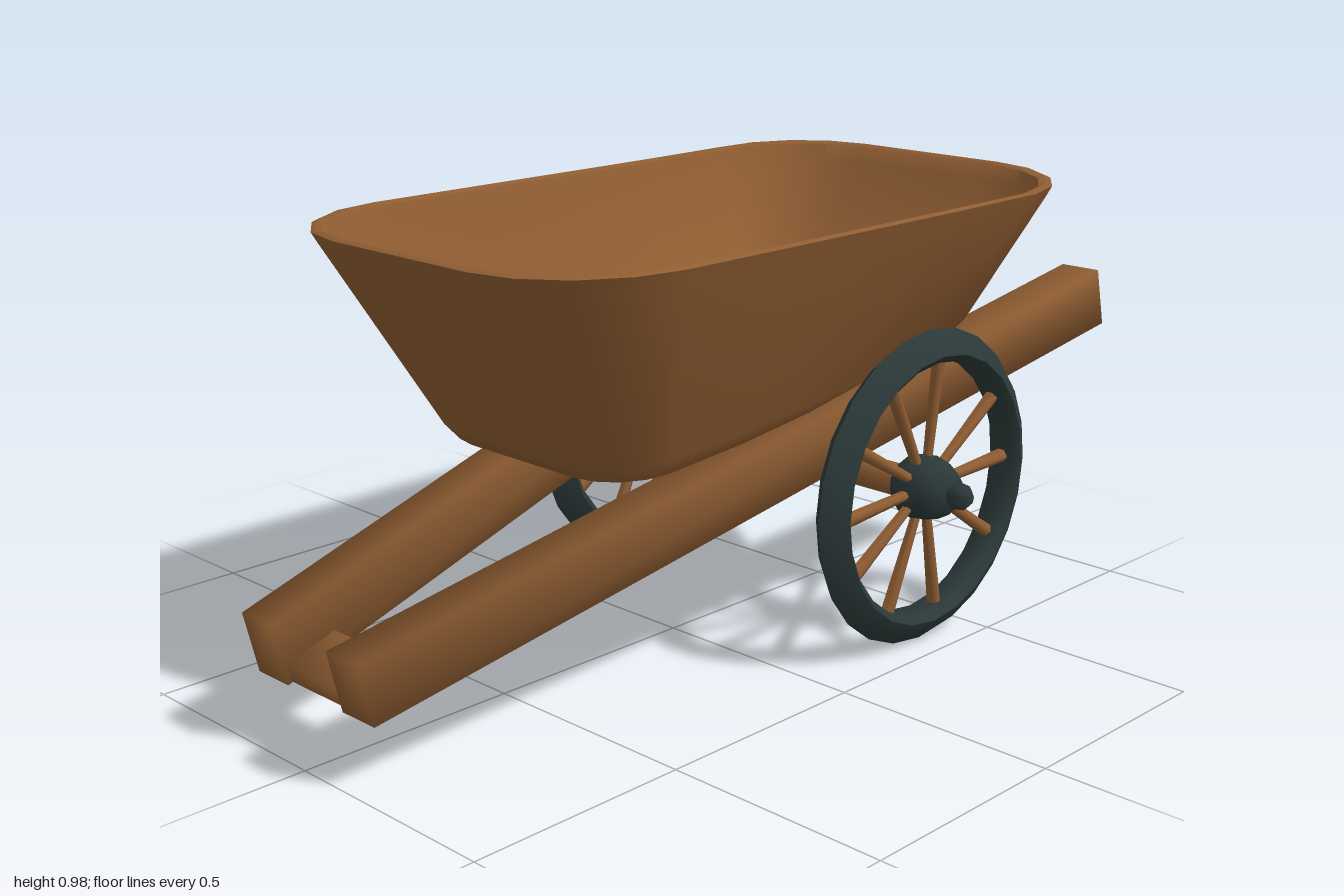
import * as THREE from 'three';
import { toCreasedNormals } from 'three/addons/utils/BufferGeometryUtils.js';

const wood = new THREE.MeshStandardMaterial({ color: 0x8f5d32 });
wood.name = 'wood';
const iron = new THREE.MeshStandardMaterial({ color: 0x2b3838 });
iron.name = 'dark iron';

function part(name, geometry, material, crease = 0.9) {
  const mesh = new THREE.Mesh(toCreasedNormals(geometry, crease), material);
  mesh.name = name;
  return mesh;
}

// Rounded rectangle loop; rl and rr are corner lengths at the two ends.
// k is how far the loop follows the floor, which climbs towards +x.
function loop([y, x0, x1, z, rl, rr, rz, k]) {
  const pts = [];
  const steps = 4;
  const add = (x, pz) => {
    const t = Math.max(0, x + 0.42);
    const climb = 0.03 * t + 0.11 * t * t;
    const lip = 0.04 * Math.max(0, x - 0.6);
    pts.push([x, y + k * climb + (1 - k) * lip, pz]);
  };
  for (let c = 0; c < 4; c++) {
    const right = c === 0 || c === 3;
    const rx = right ? rr : rl;
    const cx = right ? x1 - rx : x0 + rx;
    const side = c < 2 ? 1 : -1;
    for (let i = 0; i <= steps; i++) {
      const a = (c + i / steps) * Math.PI / 2;
      add(cx + rx * Math.cos(a), side * (z - rz) + rz * Math.sin(a));
    }
    // Extra points along the long sides so they can follow the curved floor
    if (c % 2 === 0) {
      const next = right ? x0 + rl : x1 - rr;
      for (const f of [0.25, 0.5, 0.75]) add(cx + (next - cx) * f, side * z);
    }
  }
  return pts;
}

// Skin from the underside centre, up the outside, over the rim and down to the floor
function tubGeometry() {
  const rings = [
    [0.478, 0.1, 0.1, 0, 0, 0, 0, 1],
    [0.480, -0.39, 0.64, 0.250, 0.12, 0.10, 0.11, 1],
    [0.497, -0.44, 0.675, 0.285, 0.14, 0.12, 0.13, 0.9],
    [0.535, -0.475, 0.705, 0.308, 0.16, 0.13, 0.15, 0.7],
    [0.94, -0.72, 0.872, 0.46, 0.29, 0.23, 0.26, 0],
    [0.963, -0.734, 0.887, 0.470, 0.30, 0.24, 0.27, 0],
    [0.968, -0.724, 0.878, 0.461, 0.29, 0.24, 0.26, 0],
    [0.963, -0.71, 0.862, 0.445, 0.28, 0.23, 0.25, 0],
    [0.93, -0.69, 0.845, 0.433, 0.27, 0.22, 0.24, 0],
    [0.575, -0.45, 0.65, 0.290, 0.15, 0.12, 0.13, 0.8],
    [0.54, -0.41, 0.61, 0.262, 0.12, 0.10, 0.11, 1],
    [0.54, 0.1, 0.1, 0, 0, 0, 0, 1],
  ].map(loop);
  const n = rings[0].length;
  const index = [];
  for (let r = 0; r < rings.length - 1; r++) {
    for (let i = 0; i < n; i++) {
      const j = (i + 1) % n;
      const a = r * n + i, b = r * n + j, c = a + n, d = b + n;
      if (r > 0) index.push(a, c, b);
      if (r < rings.length - 2) index.push(b, c, d);
    }
  }
  const g = new THREE.BufferGeometry();
  g.setAttribute('position', new THREE.Float32BufferAttribute(rings.flat(2), 3));
  g.setIndex(index);
  g.computeVertexNormals();
  return g;
}

// Square beam, tilted up towards +x and slanted sideways, with soft-shaded edges
const TILT = 0.233;
function beam(name, size, position, slant) {
  const shear = new THREE.Matrix4().set(1, 0, 0, 0, 0, 1, 0, 0, slant, 0, 1, 0, 0, 0, 0, 1);
  const mesh = part(name, new THREE.BoxGeometry(...size).applyMatrix4(shear), wood, 1.9);
  mesh.position.set(...position);
  mesh.rotation.z = TILT;
  return mesh;
}

// Surface turned around the z axis from [radius, z] pairs
function turned(points, sides) {
  return new THREE.LatheGeometry(points.map(p => new THREE.Vector2(...p)), sides).rotateX(Math.PI / 2);
}

// Wheel with its outer face towards +z, or towards -z when s is -1
const SPOKE_ANGLES = [2, 34, 83, 117, 150, 183, 212, 246, 280, 326];
function wheel(name, s) {
  const g = new THREE.Group();
  g.name = name;
  g.add(part('tire', turned([
    [0.284, 0.028], [0.284, -0.028], [0.300, -0.042], [0.330, -0.026],
    [0.352, 0], [0.330, 0.026], [0.300, 0.042], [0.284, 0.028],
  ], 24), iron, 1.2));
  g.add(part('hub', turned([
    [0, -0.065], [0.042, -0.062], [0.066, -0.04], [0.075, 0], [0.064, 0.04],
    [0.048, 0.068], [0.022, 0.074], [0.03, 0.092], [0.028, 0.108], [0.012, 0.124], [0, 0.124],
  ], 10), iron, 0.9));
  for (const deg of SPOKE_ANGLES) {
    const spoke = part('spoke', new THREE.CylinderGeometry(0.016, 0.011, 0.25, 6).translate(0, 0.17, 0), wood, 1.2);
    spoke.rotation.z = s * THREE.MathUtils.degToRad(deg) - Math.PI / 2;
    g.add(spoke);
  }
  if (s < 0) g.rotation.x = Math.PI;
  g.position.set(0.345, 0.355, s * 0.426);
  return g;
}

export function createModel() {
  const model = new THREE.Group();
  model.name = 'handcart';
  model.add(part('tub', tubGeometry(), wood, 0.8));

  // Long shafts that splay towards the wheel end, and the wheels
  for (const s of [1, -1]) {
    const side = s > 0 ? 'front' : 'back';
    model.add(beam(side + 'Shaft', [2.022, 0.136, 0.097], [0, 0.442, s * 0.261], s * 0.124));
    model.add(wheel(side + 'Wheel', s));
  }

  // Cross bar joining the shaft ends, flush with their undersides
  model.add(beam('crossBar', [0.128, 0.04, 0.25], [-0.9, 0.181, 0], 0));

  // Axle
  const axle = part('axle', new THREE.CylinderGeometry(0.037, 0.037, 0.76, 10).rotateX(Math.PI / 2), wood);
  axle.position.set(0.345, 0.355, 0);
  model.add(axle);
  return model;
}
